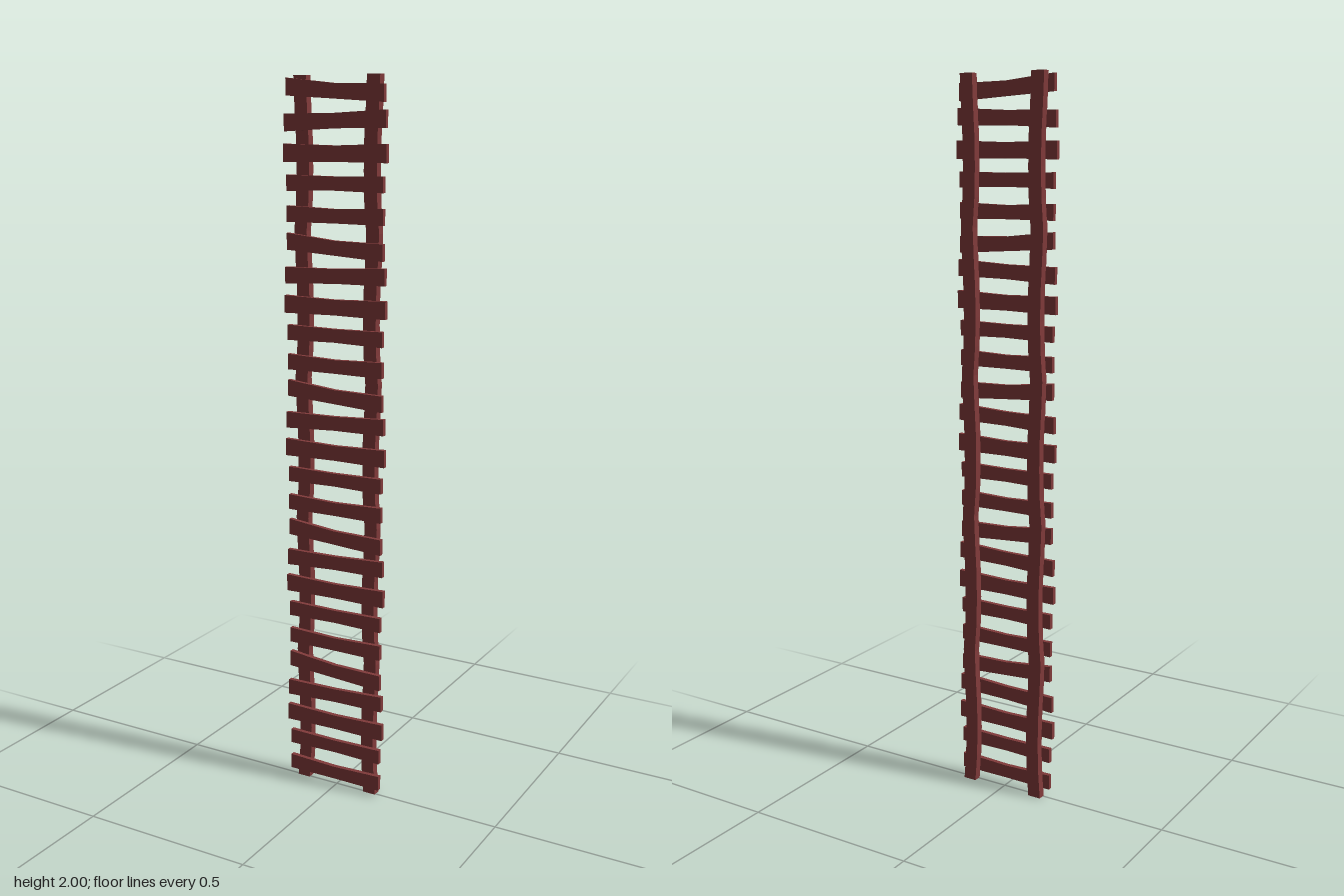
import * as THREE from 'three';

const wood = new THREE.MeshStandardMaterial({ color: 0x803a3a, flatShading: true });

// Five hand-hewn rung shapes: half length, height, and centre-line offsets at left end, middle, right end
const rungTypes = [
  { half: 0.145, h: 0.043, y: [0.002, 0, 0.002] },
  { half: 0.145, h: 0.042, y: [0.003, 0.004, 0.004] },
  { half: 0.154, h: 0.048, y: [0, 0, 0.002] },
  { half: 0.151, h: 0.045, y: [-0.002, 0.003, 0.008] },
  { half: 0.145, h: 0.045, y: [0.009, -0.003, -0.009] },
];

// A plank bent at its middle and slightly pinched there
function rungGeometry({ half, h, y }) {
  const g = new THREE.BoxGeometry(half * 2, h, 0.013, 2, 1, 1);
  const p = g.attributes.position;
  for (let i = 0; i < p.count; i++) {
    const k = Math.round(p.getX(i) / half) + 1;
    p.setY(i, p.getY(i) * (k === 1 ? 0.86 : 1) + y[k]);
  }
  g.computeVertexNormals();
  return g;
}

// A long post whose centre line wanders in x, repeating every 0.4
function railGeometry(side) {
  const g = new THREE.BoxGeometry(0.038, 2, 0.023, 1, 25, 1);
  const sway = [0.109, 0.103, 0.101, 0.102, 0.106];
  const p = g.attributes.position;
  for (let i = 0; i < p.count; i++) {
    const step = Math.round((p.getY(i) + 1) / 0.08);
    p.setX(i, p.getX(i) + side * sway[step % 5]);
  }
  g.computeVertexNormals();
  return g;
}

export function createModel() {
  const ladder = new THREE.Group();
  ladder.name = 'ladder';

  // Side rails
  for (const side of [-1, 1]) {
    const rail = new THREE.Mesh(railGeometry(side), wood);
    rail.name = side > 0 ? 'leftRail' : 'rightRail';
    rail.position.set(0, 1, -0.0065);
    ladder.add(rail);
  }

  // Rungs nailed across the front of the rails
  const shapes = rungTypes.map(rungGeometry);
  for (let i = 0; i < 25; i++) {
    const rung = new THREE.Mesh(shapes[i % 5], wood);
    rung.name = 'rung' + (i + 1);
    rung.position.set(0, 0.042 + i * 0.08, 0.0105);
    ladder.add(rung);
  }
  return ladder;
}
